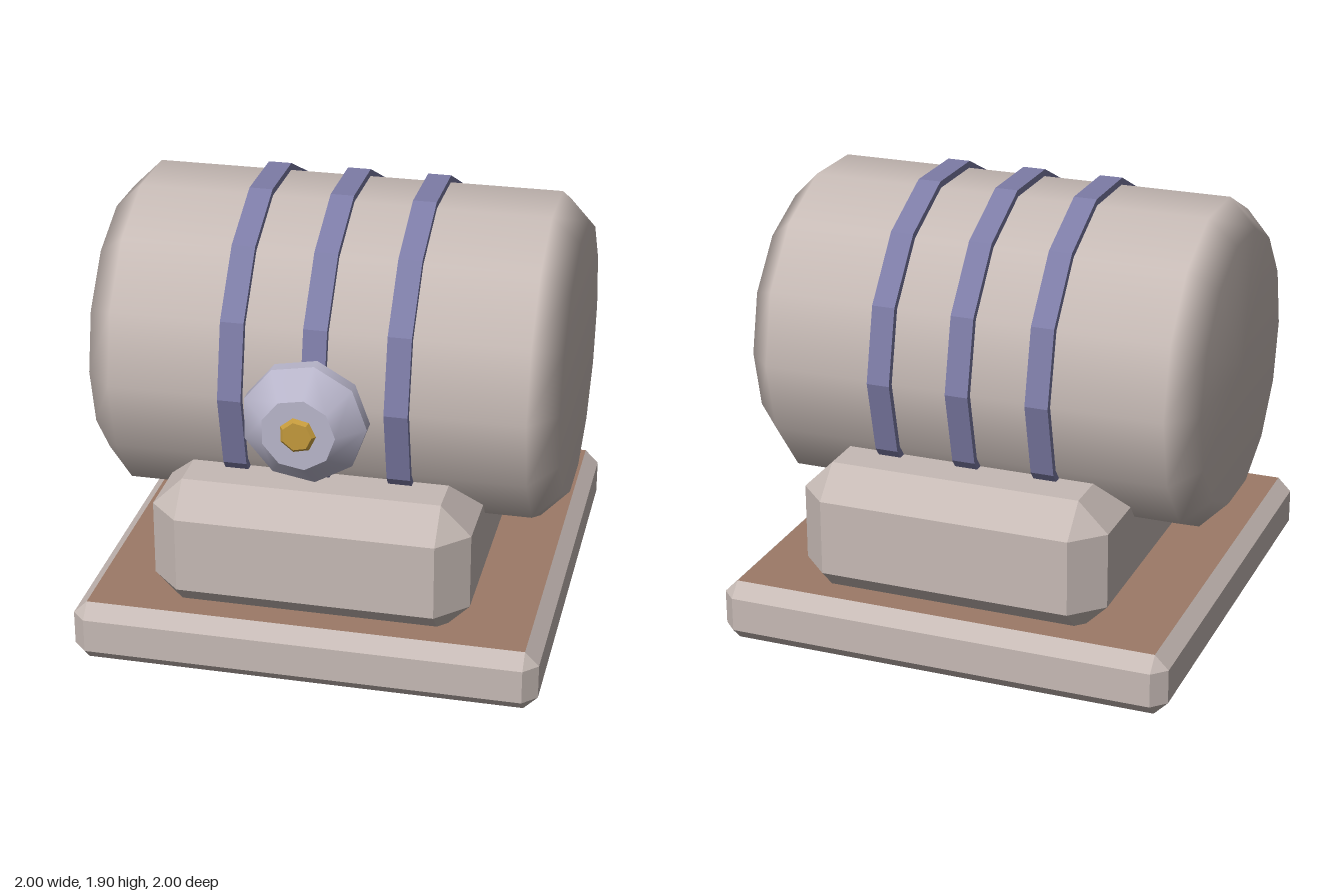
import * as THREE from 'three';
import { ConvexGeometry } from 'three/addons/geometries/ConvexGeometry.js';

const mat = (name, color) => {
  const m = new THREE.MeshStandardMaterial({ color });
  m.name = name;
  return m;
};

// Box with every edge cut by a bevel b; half sizes hx, hz, from y0 to y1
function bevelBox(hx, y0, y1, hz, b) {
  const h = [hx, (y1 - y0) / 2, hz], points = [];
  for (const sx of [-1, 1]) for (const sy of [-1, 1]) for (const sz of [-1, 1])
    for (let axis = 0; axis < 3; axis++) {
      const [x, y, z] = h.map((v, i) => (i === axis ? v : v - b));
      points.push(new THREE.Vector3(sx * x, sy * y, sz * z));
    }
  return new ConvexGeometry(points).translate(0, (y0 + y1) / 2, 0);
}

// Lathe from [radius, height] pairs; a repeated pair makes a sharp ring
const lathe = (profile, sides, start = 0) =>
  new THREE.LatheGeometry(profile.map(([r, y]) => new THREE.Vector2(r, y)), sides, start);

function flat(geometry) {
  const g = geometry.toNonIndexed();
  g.computeVertexNormals();
  return g;
}

export function createModel() {
  const stone = mat('stone', 0xc6bab5);
  const brown = mat('brown', 0x9c7a67);
  const violet = mat('violet', 0x7d7ca6);
  const lavender = mat('lavender', 0xb9b6cb);
  const gold = mat('gold', 0xc49a3c);

  const model = new THREE.Group();
  const add = (name, geometry, material, parent = model) => {
    const mesh = new THREE.Mesh(geometry, material);
    mesh.name = name;
    parent.add(mesh);
    return mesh;
  };

  // Base slab with brown top and underside
  const slab = bevelBox(1, 0, 0.27, 1, 0.06);
  const normal = slab.attributes.normal;
  for (let i = 0; i < normal.count; i += 3)
    slab.addGroup(i, 3, Math.abs(normal.getY(i)) > 0.99 ? 1 : 0);
  add('baseSlab', slab, [stone, brown]);

  // Block that cradles the barrel
  add('cradle', bevelBox(0.68, 0.23, 0.82, 0.91, 0.13), stone);

  // Barrel lying along x, with its bands
  const barrel = new THREE.Group();
  barrel.name = 'barrel';
  barrel.position.y = 1.18;
  barrel.rotation.z = -Math.PI / 2;
  model.add(barrel);
  add('barrelBody', lathe(
    [[0, -1], [0.59, -1], [0.71, -0.88], [0.71, 0.88], [0.59, 1], [0, 1]], 14), stone, barrel);
  for (const x of [-0.35, 0, 0.35]) {
    const ring = lathe([[0.69, -0.05], [0.74, -0.05], [0.74, 0.05], [0.69, 0.05]], 14);
    add('band', flat(ring), violet, barrel).position.y = x;
  }

  // Knob on the front of the barrel
  const knob = new THREE.Group();
  knob.name = 'knob';
  knob.position.set(0, 1.18, 0.85);
  knob.rotation.x = Math.PI / 2;
  model.add(knob);
  add('knobBody', lathe([
    [0, -0.135], [0.155, -0.135], [0.155, -0.135], [0.262, -0.03], [0.262, -0.03],
    [0.262, 0.03], [0.262, 0.03], [0.155, 0.135], [0.155, 0.135], [0, 0.135],
  ], 9, Math.PI / 2), lavender, knob);

  // Gold stud at the tip of the knob
  add('stud', flat(lathe(
    [[0, 0.1], [0.08, 0.1], [0.08, 0.132], [0.062, 0.15], [0, 0.15]], 7, Math.PI / 2)), gold, knob);

  return model;
}
